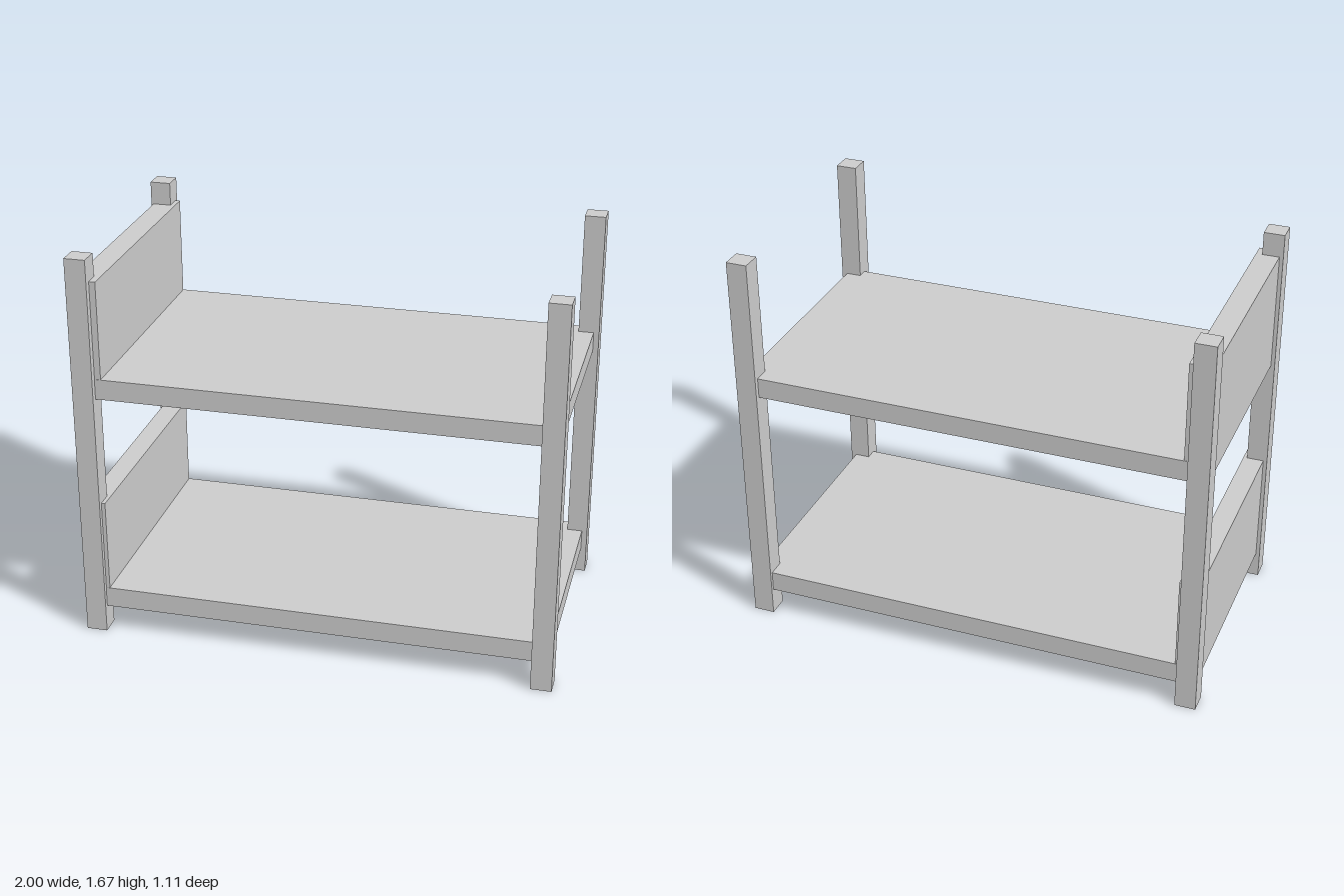
import * as THREE from 'three';

export function createModel() {
  const group = new THREE.Group();
  const material = new THREE.MeshStandardMaterial({ color: 0xcccccc, flatShading: true });

  // Box given by its extents along each axis
  function block(name, [x0, x1], [y0, y1], [z0, z1]) {
    const mesh = new THREE.Mesh(new THREE.BoxGeometry(x1 - x0, y1 - y0, z1 - z0), material);
    mesh.position.set((x0 + x1) / 2, (y0 + y1) / 2, (z0 + z1) / 2);
    mesh.name = name;
    group.add(mesh);
  }

  // Corner posts, slightly out of line with one another
  const posts = [
    ['frontRightPost', -0.957, 0.496],
    ['backRightPost', -0.951, -0.512],
    ['frontLeftPost', 0.953, 0.511],
    ['backLeftPost', 0.953, -0.515],
  ];
  const h = 0.044;
  for (const [name, x, z] of posts) {
    block(name, [x - h, x + h], [0, 1.675], [z - h, z + h]);
  }

  // Two bunks, each a platform with a headboard standing on its end
  const bunks = [
    { name: 'lower', bottom: 0.112, top: 0.2, boardTop: 0.6, boardX: -0.897, z: [-0.545, 0.521] },
    { name: 'upper', bottom: 1.07, top: 1.157, boardTop: 1.576, boardX: -0.887, z: [-0.538, 0.513] },
  ];
  for (const b of bunks) {
    block(b.name + 'Platform', [-0.98, 0.974], [b.bottom, b.top], b.z);
    block(b.name + 'Headboard', [-0.985, b.boardX], [b.bottom + 0.001, b.boardTop], [b.z[0] + 0.002, b.z[1] - 0.002]);
  }

  return group;
}
